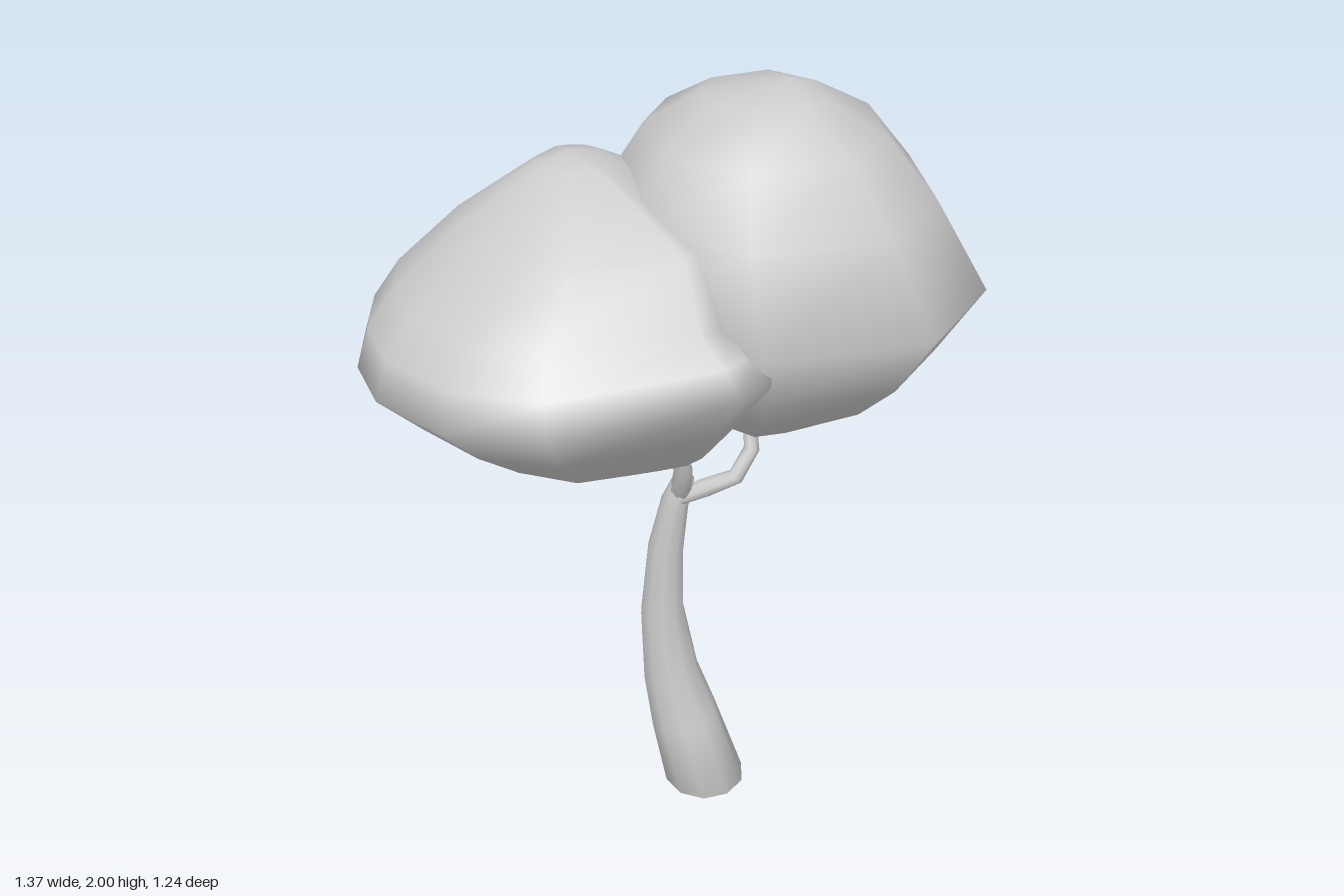
import * as THREE from 'three';

const UP = new THREE.Vector3(0, 1, 0);
const material = new THREE.MeshStandardMaterial({ color: 0xcccccc });

// Skins a stack of equal-length rings and closes both ends.
function loft(name, rings, bottom, top) {
  const n = rings[0].length;
  const points = [...rings.flat(), bottom, top];
  const low = rings.length * n, high = low + 1, last = low - n;
  const index = [];
  for (let j = 0; j < n; j++) {
    const k = (j + 1) % n;
    for (let i = 0; i < rings.length - 1; i++) {
      const a = i * n + j, b = i * n + k;
      index.push(a, a + n, b, b, a + n, b + n);
    }
    index.push(low, j, k, high, last + k, last + j);
  }
  const geometry = new THREE.BufferGeometry().setFromPoints(points);
  geometry.setIndex(index);
  geometry.computeVertexNormals();
  const mesh = new THREE.Mesh(geometry, material);
  mesh.name = name;
  return mesh;
}

// Tapered limb through [x, y, z, radius] stations; its first ring lies level.
function limb(name, stations, sides) {
  const centres = stations.map(([x, y, z]) => new THREE.Vector3(x, y, z));
  const rings = stations.map(([, , , r], i) => {
    const next = centres[Math.min(i + 1, centres.length - 1)];
    const along = i ? next.clone().sub(centres[i - 1]).normalize() : UP;
    const turn = new THREE.Quaternion().setFromUnitVectors(UP, along);
    return Array.from({ length: sides }, (_, j) => {
      const a = (j / sides) * Math.PI * 2;
      return new THREE.Vector3(Math.cos(a) * r, 0, Math.sin(a) * r)
        .applyQuaternion(turn).add(centres[i]);
    });
  });
  return loft(name, rings, centres[0], centres[centres.length - 1]);
}

// Leaf mass: one plan outline, scaled and shifted per level [y, x, z, scale, tilt].
function canopy(name, outline, [cx, cz], levels, bottom, top) {
  const rings = levels.map(([y, x, z, s, tilt = 0]) => outline.map(([px, pz]) =>
    new THREE.Vector3(x + (px - cx) * s, y + (px - cx) * tilt, z + (pz - cz) * s)));
  return loft(name, rings, new THREE.Vector3(...bottom), new THREE.Vector3(...top));
}

export function createModel() {
  const tree = new THREE.Group();
  tree.name = 'tree';

  // Bowed trunk and its fork
  tree.add(
    limb('trunk', [
      [0.07, 0, -0.07, 0.11], [0.01, 0.2, -0.07, 0.092], [-0.027, 0.35, -0.065, 0.075],
      [-0.05, 0.55, -0.063, 0.058], [-0.04, 0.75, -0.062, 0.047],
      [-0.015, 0.9, -0.062, 0.036], [0.01, 0.98, -0.062, 0.026],
    ], 10),
    limb('frontBranch', [
      [0, 0.93, -0.06, 0.028], [0.018, 1.02, -0.03, 0.024],
      [0.015, 1.07, 0, 0.02], [-0.01, 1.13, 0.03, 0.018], [-0.04, 1.22, 0.06, 0.016],
    ], 8),
    limb('backBranch', [
      [-0.01, 0.91, -0.06, 0.03], [0.06, 0.95, -0.075, 0.025], [0.135, 0.99, -0.09, 0.021],
      [0.165, 1.06, -0.12, 0.02], [0.15, 1.13, -0.145, 0.018], [0.15, 1.24, -0.15, 0.016],
    ], 8),
  );

  // Wide leaf mass at the front
  tree.add(canopy('frontCanopy', [
    [0.32, 0.3], [0.28, 0.37], [-0.06, 0.61], [-0.29, 0.615], [-0.5, 0.51], [-0.62, 0.37],
    [-0.69, 0.2], [-0.57, -0.24], [-0.4, -0.36], [-0.22, -0.41], [0, -0.36], [0.22, -0.1],
  ], [-0.19, 0.1], [
    [1.1, -0.08, 0.06, 0.18], [1.2, -0.18, 0.05, 0.61], [1.32, -0.19, 0.08, 0.82, 0.05],
    [1.445, -0.19, 0.1, 1, 0.09], [1.52, -0.2, 0.1, 0.92, 0.05], [1.59, -0.2, 0.1, 0.79],
    [1.73, -0.16, 0.09, 0.58], [1.835, -0.21, 0.06, 0.17],
  ], [-0.08, 1.1, 0.06], [-0.22, 1.855, 0.06]));

  // Taller leaf mass at the back
  tree.add(canopy('backCanopy', [
    [0.68, -0.2], [0.62, 0.09], [0.3, 0.3], [-0.05, 0.2],
    [-0.22, -0.05], [-0.22, -0.32], [0.13, -0.62], [0.53, -0.51],
  ], [0.24, -0.16], [
    [1.14, 0.18, -0.14, 0.2], [1.28, 0.22, -0.15, 0.6], [1.38, 0.235, -0.155, 0.79],
    [1.54, 0.24, -0.16, 1], [1.75, 0.2, -0.13, 0.82], [1.89, 0.18, -0.13, 0.59],
    [1.97, 0.17, -0.12, 0.3],
  ], [0.18, 1.14, -0.14], [0.22, 2, -0.14]));

  return tree;
}
